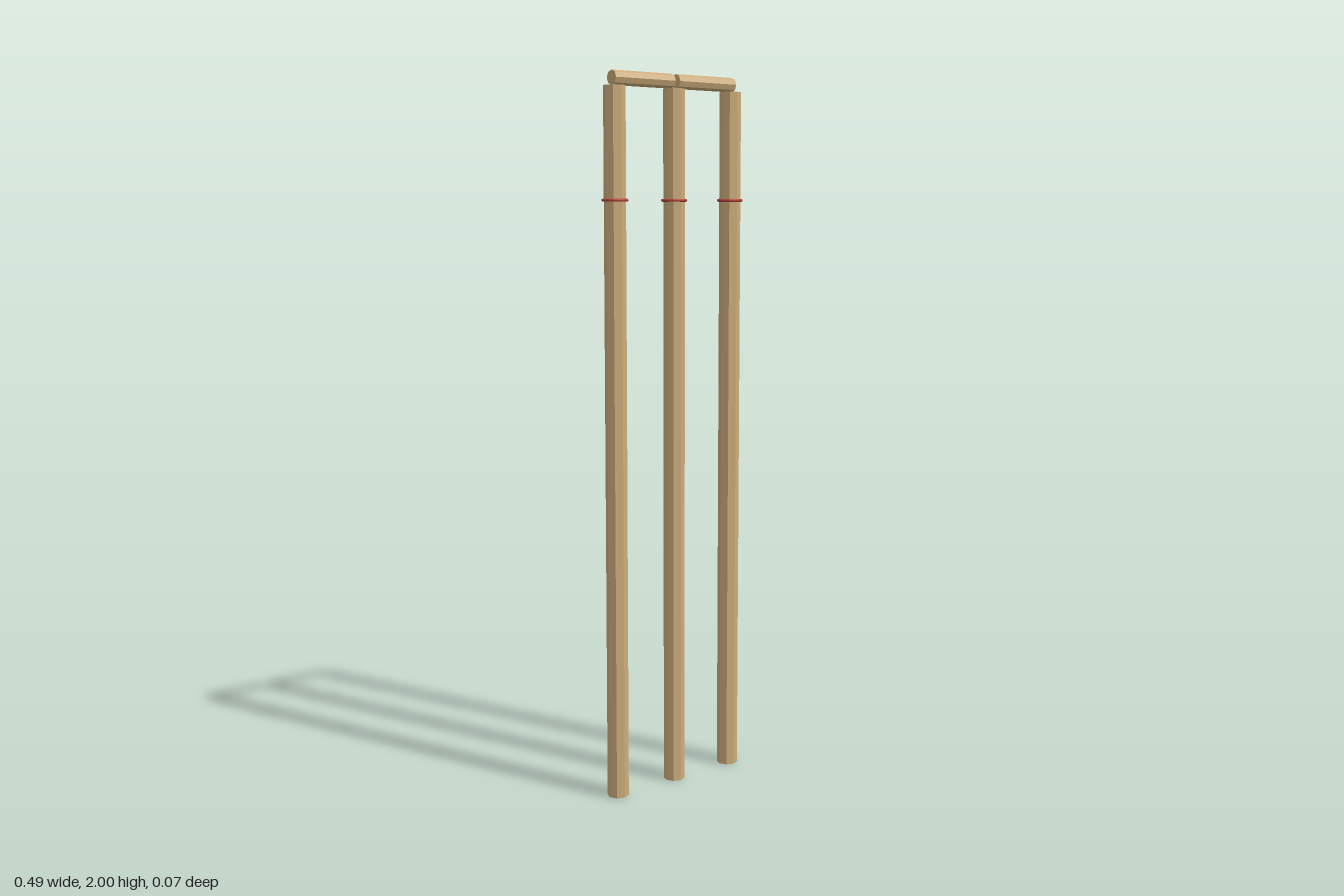
import * as THREE from 'three';

export function createModel() {
  const group = new THREE.Group();
  group.name = 'wicket';
  const wood = new THREE.MeshStandardMaterial({ color: 0xcdac7a, flatShading: true });
  const red = new THREE.MeshStandardMaterial({ color: 0xb8443f });

  const stumpHeight = 1.96, spacing = 0.207, bailRadius = 0.02;
  const stumpGeo = new THREE.CylinderGeometry(0.03, 0.03, stumpHeight, 8);
  const ringGeo = new THREE.TorusGeometry(0.0325, 0.004, 8, 24).rotateX(Math.PI / 2);
  const bailGeo = new THREE.CylinderGeometry(bailRadius, bailRadius, 0.206, 8).rotateZ(Math.PI / 2);

  const add = (geo, mat, name, x, y, z = 0) => {
    const mesh = new THREE.Mesh(geo, mat);
    mesh.name = name;
    mesh.position.set(x, y, z);
    group.add(mesh);
  };

  // Three upright stumps, each with a red ring
  [['right', -1], ['middle', 0], ['left', 1]].forEach(([side, s]) => {
    add(stumpGeo, wood, side + 'Stump', s * spacing, stumpHeight / 2);
    add(ringGeo, red, side + 'Ring', s * spacing, 1.66);
  });

  // Two bails resting end to end across the stump tops
  [['right', -1], ['left', 1]].forEach(([side, s]) =>
    add(bailGeo, wood, side + 'Bail', s * 0.111, 2 - bailRadius, -0.003));

  return group;
}
